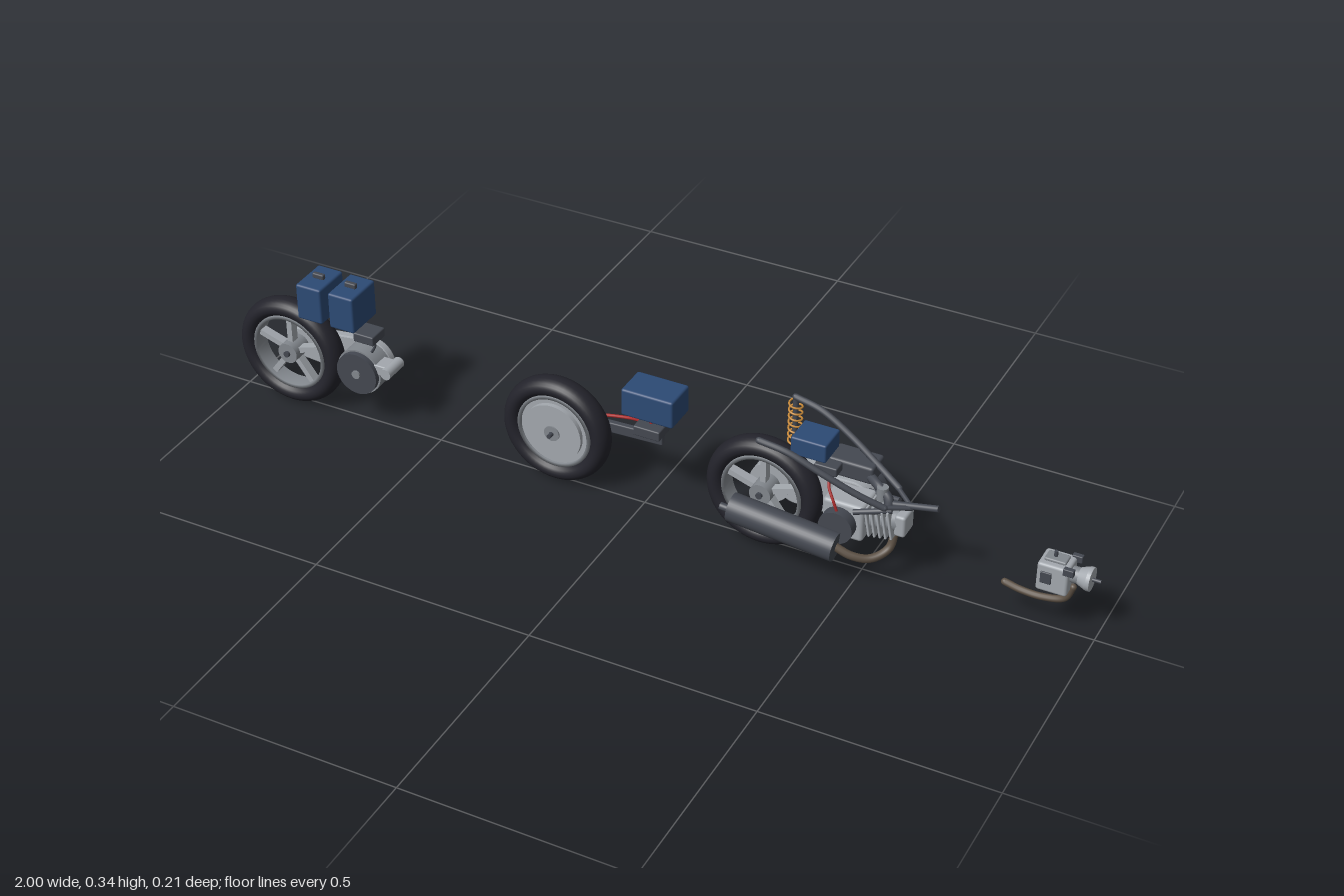
import * as THREE from 'three';
import { RoundedBoxGeometry } from 'three/addons/geometries/RoundedBoxGeometry.js';

const mat = (name, color) => new THREE.MeshStandardMaterial({ name, color });
const M = {
  rubber: mat('rubber', 0x23232b),
  dark: mat('darkGrey', 0x444851),
  alloy: mat('alloy', 0xa3a8ae),
  steel: mat('steel', 0x83888e),
  blue: mat('batteryBlue', 0x2c4a75),
  spring: mat('springOrange', 0xc88a3a),
  red: mat('redCable', 0xa82c2c),
  pipe: mat('exhaustBrown', 0x5c5044),
};
const V = (p) => new THREE.Vector3(...p);

function add(parent, name, geo, material, pos = [0, 0, 0]) {
  const mesh = new THREE.Mesh(geo, material);
  mesh.name = name;
  mesh.position.set(...pos);
  parent.add(mesh);
  return mesh;
}
// Box given by its min and max corners
function box(parent, name, material, a, b, r = 0.003) {
  const s = b.map((v, i) => v - a[i]);
  return add(parent, name, new RoundedBoxGeometry(s[0], s[1], s[2], 2, r), material, a.map((v, i) => v + s[i] / 2));
}
// Straight cylinder between two points
function rod(parent, name, material, a, b, r1, r2 = r1, seg = 28) {
  const d = V(b).sub(V(a));
  const m = add(parent, name, new THREE.CylinderGeometry(r2, r1, d.length(), seg), material);
  m.position.copy(V(a)).addScaledVector(d, 0.5);
  m.quaternion.setFromUnitVectors(new THREE.Vector3(0, 1, 0), d.normalize());
  return m;
}
// Bent tube with rounded ends
function tube(parent, name, material, pts, r) {
  const g = new THREE.Group();
  g.name = name;
  parent.add(g);
  add(g, name + 'Run', new THREE.TubeGeometry(new THREE.CatmullRomCurve3(pts.map(V)), 40, r, 12), material);
  for (const p of [pts[0], pts[pts.length - 1]]) add(g, name + 'End', new THREE.SphereGeometry(r, 12, 8), material, p);
}
// Tapered case wrapped round two circles, extruded from z0 to z1
function beltCase(parent, name, material, [x1, y1, r1], [x2, y2, r2], z0, z1) {
  const d = Math.hypot(x2 - x1, y2 - y1), t = Math.atan2(y2 - y1, x2 - x1), a = Math.acos((r1 - r2) / d);
  const s = new THREE.Shape();
  s.absarc(x1, y1, r1, t + a, t + Math.PI * 2 - a, false);
  s.absarc(x2, y2, r2, t - a, t + a, false);
  const bevel = 0.003;
  const geo = new THREE.ExtrudeGeometry(s, {
    depth: z1 - z0 - 2 * bevel, bevelThickness: bevel, bevelSize: bevel, bevelOffset: -bevel, bevelSegments: 2, curveSegments: 24,
  });
  return add(parent, name, geo, material, [0, 0, z0 + bevel]);
}
function lathe(points) {
  return new THREE.LatheGeometry(points.map(([r, h]) => new THREE.Vector2(r, h)), 56).rotateX(Math.PI / 2);
}

// Wheel in the xy plane, spoked or with a solid hub motor
function wheel(parent, x, radius, solid) {
  const g = new THREE.Group();
  g.name = solid ? 'hubMotorWheel' : 'spokedWheel';
  g.position.set(x, 0.131, 0.002);
  parent.add(g);
  const section = [];
  for (let i = 0; i <= 24; i++) {
    const a = Math.PI - (i / 24) * Math.PI * 2;
    section.push([radius - 0.021 + 0.021 * Math.cos(a), -0.028 * Math.sin(a)]);
  }
  add(g, 'tyre', lathe(section), M.rubber);
  // Rim band
  const rim = radius - 0.038;
  add(g, 'rim', lathe([[rim - 0.008, -0.019], [rim, -0.019], [rim, 0.019], [rim - 0.008, 0.019], [rim - 0.008, -0.019]]), M.steel);
  if (solid) {
    rod(g, 'hubShell', M.alloy, [0, 0, -0.015], [0, 0, 0.015], rim - 0.004, rim - 0.004, 48);
    rod(g, 'hubCover', M.alloy, [0, 0, -0.025], [0, 0, 0.025], 0.068, 0.068, 48);
    rod(g, 'hubBoss', M.steel, [0, 0, -0.028], [0, 0, 0.028], 0.018);
    rod(g, 'axle', M.dark, [0, 0, -0.048], [0, 0, 0.04], 0.005);
  } else {
    rod(g, 'hub', M.steel, [0, 0, -0.025], [0, 0, 0.024], 0.024);
    rod(g, 'axle', M.dark, [0, 0, -0.035], [0, 0, 0.03], 0.007);
    for (let i = 0; i < 5; i++) {
      const spoke = new THREE.BoxGeometry(0.07, 0.013, 0.02).translate(0.051, 0, 0);
      add(g, 'spoke', spoke, M.alloy).rotation.z = Math.PI / 2 + (i * Math.PI * 2) / 5;
    }
  }
}

// Electric drive with side motor and twin batteries
function sideMotorDrive(root) {
  const g = new THREE.Group();
  g.name = 'sideMotorDrive';
  root.add(g);
  wheel(g, -0.871, 0.129, false);
  beltCase(g, 'beltCase', M.alloy, [-0.871, 0.131, 0.036], [-0.69, 0.134, 0.055], -0.046, -0.026);
  rod(g, 'caseBolt', M.dark, [-0.69, 0.134, -0.049], [-0.69, 0.134, -0.04], 0.005);
  rod(g, 'motorBody', M.steel, [-0.69, 0.134, -0.03], [-0.69, 0.134, 0.018], 0.054, 0.054, 40);
  rod(g, 'motorCap', M.dark, [-0.69, 0.134, 0.018], [-0.69, 0.134, 0.03], 0.05, 0.05, 40);
  rod(g, 'motorBoss', M.steel, [-0.69, 0.134, 0.03], [-0.69, 0.134, 0.034], 0.01);
  box(g, 'mountArm', M.alloy, [-0.66, 0.14, -0.02], [-0.62, 0.165, 0.02]);
  rod(g, 'mountSleeve', M.alloy, [-0.617, 0.153, -0.03], [-0.617, 0.153, 0.028], 0.013);
  for (const x of [-0.789, -0.708]) {
    box(g, 'battery', M.blue, [x - 0.031, 0.25, -0.046], [x + 0.031, 0.336, 0.047], 0.005);
    box(g, 'batteryHandle', M.dark, [x - 0.014, 0.334, -0.005], [x + 0.014, 0.347, 0.006]);
  }
  box(g, 'controller', M.dark, [-0.695, 0.215, -0.025], [-0.645, 0.237, 0.025]);
  tube(g, 'motorCable', M.dark, [[-0.66, 0.218, 0], [-0.657, 0.2, 0], [-0.67, 0.175, 0]], 0.003);
  tube(g, 'batteryCable', M.red, [[-0.72, 0.252, 0.01], [-0.705, 0.24, 0.01], [-0.69, 0.23, 0.01]], 0.003);
}

// Electric drive with hub motor
function hubMotorDrive(root) {
  const g = new THREE.Group();
  g.name = 'hubMotorDrive';
  root.add(g);
  wheel(g, -0.206, 0.125, true);
  const arm = box(g, 'swingArm', M.dark, [-0.222, 0.127, -0.05], [0.022, 0.152, -0.036]);
  arm.rotation.z = 0.04;
  box(g, 'controller', M.dark, [-0.015, 0.187, -0.025], [0.046, 0.21, 0.025]);
  box(g, 'battery', M.blue, [-0.036, 0.239, -0.039], [0.083, 0.303, 0.039], 0.005);
  tube(g, 'motorCable', M.red, [[-0.01, 0.192, -0.02], [-0.05, 0.175, -0.043], [-0.13, 0.157, -0.048], [-0.2, 0.137, -0.049]], 0.0035);
  tube(g, 'batteryCable', M.red, [[0.015, 0.245, 0], [0.01, 0.225, 0], [0.015, 0.208, 0]], 0.003);
}

// Combustion drive with belt transmission, silencer and frame
function engineDrive(root) {
  const g = new THREE.Group();
  g.name = 'engineDrive';
  root.add(g);
  wheel(g, 0.277, 0.128, false);
  rod(g, 'rearGearHub', M.alloy, [0.277, 0.131, -0.06], [0.277, 0.131, -0.022], 0.045);
  beltCase(g, 'transmissionCase', M.alloy, [0.333, 0.138, 0.047], [0.457, 0.138, 0.048], -0.08, -0.03);
  beltCase(g, 'transmissionCover', M.dark, [0.333, 0.138, 0.048], [0.457, 0.138, 0.049], -0.105, -0.08);
  box(g, 'crankcase', M.alloy, [0.42, 0.095, -0.04], [0.51, 0.18, 0.036], 0.008);
  rod(g, 'fanHousing', M.dark, [0.46, 0.132, 0.035], [0.46, 0.132, 0.06], 0.037);
  // Finned cylinder and head
  rod(g, 'cylinder', M.steel, [0.5, 0.14, 0], [0.58, 0.155, 0], 0.025);
  for (let i = 0; i < 5; i++) {
    const f = box(g, 'coolingFin', M.alloy, [0.514 + i * 0.012, 0.112 + i * 0.002, -0.032], [0.519 + i * 0.012, 0.176 + i * 0.002, 0.032], 0.002);
    f.rotation.z = 0.18;
  }
  box(g, 'cylinderHead', M.alloy, [0.572, 0.128, -0.025], [0.596, 0.178, 0.025], 0.006);
  // Intake
  box(g, 'airBox', M.dark, [0.4, 0.192, -0.09], [0.5, 0.232, -0.03], 0.006);
  tube(g, 'intakeHose', M.dark, [[0.49, 0.208, -0.04], [0.52, 0.205, -0.018], [0.545, 0.19, -0.008], [0.55, 0.165, 0]], 0.01);
  rod(g, 'carburettor', M.steel, [0.53, 0.182, -0.012], [0.53, 0.212, -0.012], 0.012);
  // Exhaust
  tube(g, 'exhaustPipe', M.pipe, [[0.46, 0.098, 0.07], [0.5, 0.078, 0.062], [0.535, 0.071, 0.043], [0.562, 0.088, 0.016], [0.568, 0.135, 0.002]], 0.009);
  rod(g, 'silencer', M.dark, [0.237, 0.12, 0.074], [0.47, 0.097, 0.074], 0.031, 0.031, 36);
  rod(g, 'tailPipe', M.dark, [0.212, 0.114, 0.074], [0.245, 0.111, 0.074], 0.008);
  // Frame rails bowing in towards the pivot
  for (const s of [-1, 1]) {
    tube(g, 'frameRail', M.dark, [[0.3, 0.313, s * 0.087], [0.36, 0.301, s * 0.083], [0.43, 0.267, s * 0.073], [0.5, 0.228, s * 0.056], [0.555, 0.2, s * 0.038]], 0.007);
    rod(g, 'pivotBrace', M.dark, [0.553, 0.2, s * 0.038], [0.6, 0.19, 0], 0.005);
    rod(g, 'engineHanger', M.dark, [0.49, 0.17, s * 0.04], [0.565, 0.185, s * 0.02], 0.006);
  }
  rod(g, 'frontTube', M.dark, [0.56, 0.187, 0], [0.656, 0.207, 0], 0.007);
  // Suspension
  rod(g, 'damper', M.dark, [0.3, 0.19, -0.09], [0.3, 0.312, -0.09], 0.006);
  const coil = [];
  for (let i = 0; i <= 84; i++) {
    const a = (i / 12) * Math.PI * 2;
    coil.push([0.3 + 0.014 * Math.cos(a), 0.198 + (i / 84) * 0.106, -0.09 + 0.014 * Math.sin(a)]);
  }
  add(g, 'coilSpring', new THREE.TubeGeometry(new THREE.CatmullRomCurve3(coil.map(V)), 200, 0.0022, 8), M.spring);
  // Electrics
  box(g, 'battery', M.blue, [0.345, 0.262, -0.035], [0.423, 0.304, 0.035], 0.004);
  box(g, 'regulator', M.dark, [0.4, 0.24, 0.008], [0.45, 0.26, 0.04]);
  tube(g, 'ignitionCable', M.red, [[0.43, 0.243, 0.022], [0.435, 0.215, 0.04], [0.45, 0.19, 0.05], [0.46, 0.162, 0.05]], 0.003);
}

// Small separate engine with exhaust
function smallEngine(root) {
  const g = new THREE.Group();
  g.name = 'smallEngine';
  root.add(g);
  box(g, 'engineBlock', M.alloy, [0.876, 0.106, -0.029], [0.941, 0.172, 0.029], 0.006);
  box(g, 'sidePlate', M.dark, [0.885, 0.128, 0.024], [0.908, 0.155, 0.032], 0.002);
  box(g, 'headCap', M.steel, [0.885, 0.17, -0.015], [0.93, 0.178, 0.015]);
  rod(g, 'sparkPlug', M.dark, [0.904, 0.176, 0], [0.904, 0.19, 0], 0.004);
  rod(g, 'outputNeck', M.steel, [0.938, 0.147, 0], [0.962, 0.147, 0], 0.017);
  rod(g, 'outputFlare', M.alloy, [0.956, 0.147, 0], [0.974, 0.147, 0], 0.018, 0.025);
  rod(g, 'outputDisc', M.alloy, [0.974, 0.147, 0], [0.982, 0.147, 0], 0.025);
  rod(g, 'outputShaft', M.dark, [0.98, 0.147, 0], [1.0, 0.147, 0], 0.004);
  for (const s of [-1, 1]) box(g, 'mountLug', M.dark, [0.93, 0.16, s * 0.026 - 0.006], [0.952, 0.176, s * 0.026 + 0.006], 0.002);
  tube(g, 'exhaustPipe', M.pipe, [[0.805, 0.079, 0], [0.84, 0.071, 0], [0.885, 0.07, 0], [0.93, 0.083, 0], [0.945, 0.115, 0]], 0.0075);
}

export function createModel() {
  const root = new THREE.Group();
  root.name = 'driveUnits';
  sideMotorDrive(root);
  hubMotorDrive(root);
  engineDrive(root);
  smallEngine(root);
  return root;
}
